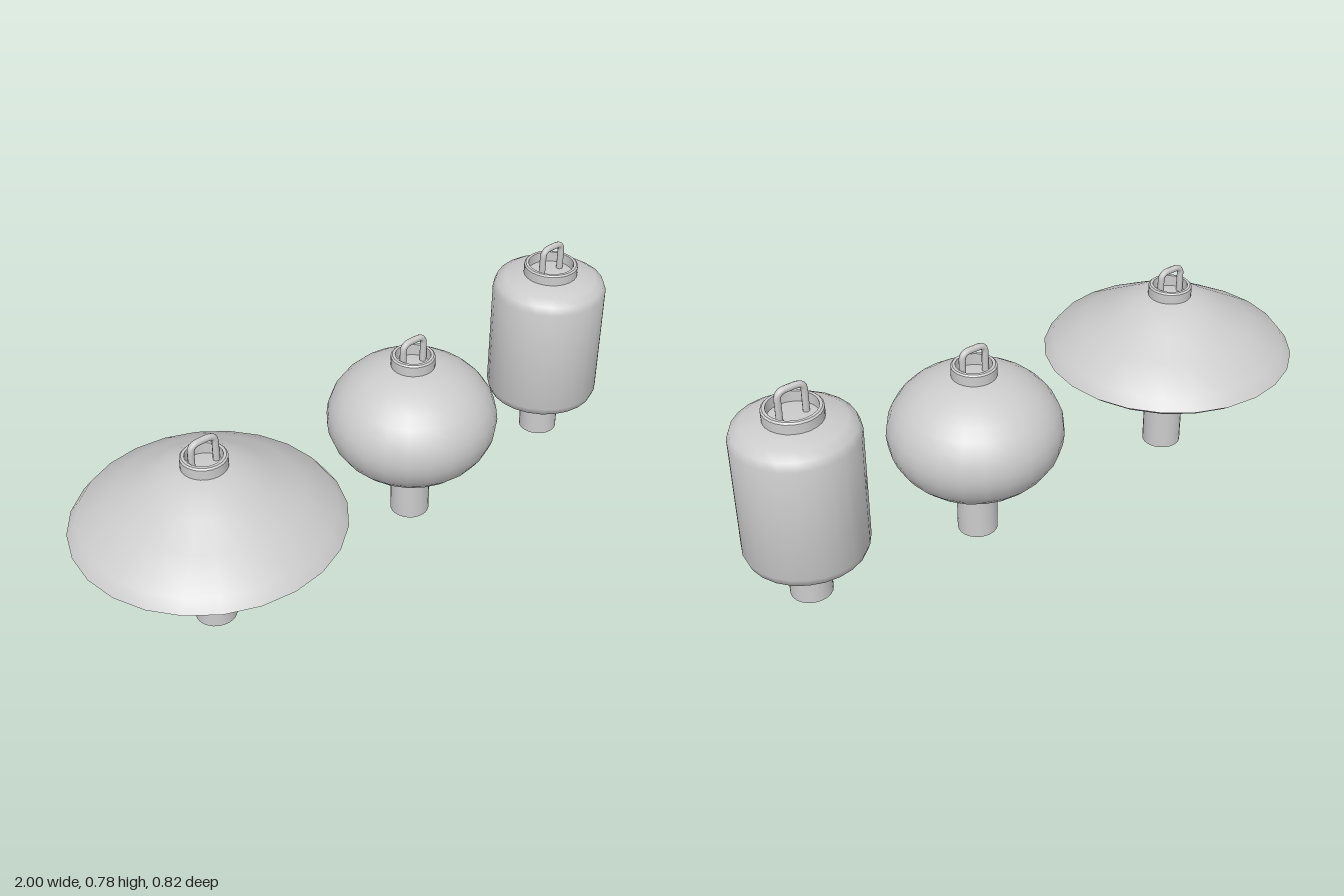
import * as THREE from 'three';
import { toCreasedNormals } from 'three/addons/utils/BufferGeometryUtils.js';

const SIDES = 24;
const material = new THREE.MeshStandardMaterial({ color: 0xcccccc });

function part(name, geometry) {
  const mesh = new THREE.Mesh(geometry, material);
  mesh.name = name;
  return mesh;
}

// Turned part from [radius, height] points, listed bottom to top on the outside
function turned(name, points, crease = 0.6) {
  const profile = points.map(([r, y]) => new THREE.Vector2(r, y));
  return part(name, toCreasedNormals(new THREE.LatheGeometry(profile, SIDES), crease));
}

// Arched carrying loop: two legs joined by a rounded top
function loopHandle(base, top) {
  const w = 0.042, y = top - 0.01;
  const path = new THREE.CurvePath();
  const v = (x, h) => new THREE.Vector3(x, h, 0);
  path.add(new THREE.LineCurve3(v(-w, base), v(-w, y - 0.025)));
  path.add(new THREE.QuadraticBezierCurve3(v(-w, y - 0.025), v(-w, y), v(-0.014, y)));
  path.add(new THREE.LineCurve3(v(-0.014, y), v(0.014, y)));
  path.add(new THREE.QuadraticBezierCurve3(v(0.014, y), v(w, y), v(w, y - 0.025)));
  path.add(new THREE.LineCurve3(v(w, y - 0.025), v(w, base)));
  return part('handle', new THREE.TubeGeometry(path, 40, 0.0105, 8));
}

function lantern({ name, x, body, ring, collar, cap, handleTop, tailBottom }) {
  const group = new THREE.Group();
  group.name = name;
  group.position.x = x;

  // Paper body, closed at the top and open below
  const topY = body[body.length - 1][1];
  group.add(turned('body', [...body, [0, topY]], 0.9));

  // Hollow cap with softened rim
  const b = 0.005, inner = ring - 0.014;
  group.add(turned('cap', [
    [ring, cap[0]], [ring, cap[1] - b], [ring - b, cap[1]],
    [inner, cap[1]], [inner, cap[0] - 0.006],
  ]));

  // Bottom collar with softened lower edge
  group.add(turned('collar', [
    [0.062, collar[0]], [ring - b, collar[0]], [ring, collar[0] + b], [ring, collar[1]],
  ]));

  // Open tail sleeve
  group.add(turned('tail', [[0.064, tailBottom], [0.064, collar[0] + 0.02]]));

  group.add(loopHandle(topY - 0.005, handleTop));
  return group;
}

export function createModel() {
  const model = new THREE.Group();
  model.name = 'lanterns';

  // Rounded body: an ellipse cut off at the cap and collar
  const oval = [];
  for (let i = 0; i <= 14; i++) {
    const a = THREE.MathUtils.lerp(-1.312, 1.312, i / 14);
    oval.push([0.274 * Math.cos(a), 0.372 + 0.203 * Math.sin(a)]);
  }

  const small = { ring: 0.07, collar: [0.14, 0.18], cap: [0.565, 0.606], handleTop: 0.667, tailBottom: 0 };

  model.add(lantern({
    ...small, name: 'wideLantern', x: -0.592,
    body: [[0.066, 0.174], [0.11, 0.186], [0.16, 0.21], [0.25, 0.267], [0.385, 0.352],
      [0.41, 0.372], [0.381, 0.41], [0.28, 0.467], [0.187, 0.52], [0.14, 0.546], [0.1, 0.56], [0.066, 0.57]],
  }));

  model.add(lantern({ ...small, name: 'roundLantern', x: 0.203, body: oval }));

  model.add(lantern({
    name: 'tallLantern', x: 0.812,
    ring: 0.088, collar: [0.155, 0.192], cap: [0.668, 0.706], handleTop: 0.776, tailBottom: 0.057,
    body: [[0.064, 0.186], [0.09, 0.19], [0.15, 0.203], [0.178, 0.22], [0.187, 0.245],
      [0.187, 0.615], [0.178, 0.64], [0.15, 0.658], [0.09, 0.67], [0.06, 0.674]],
  }));

  return model;
}
